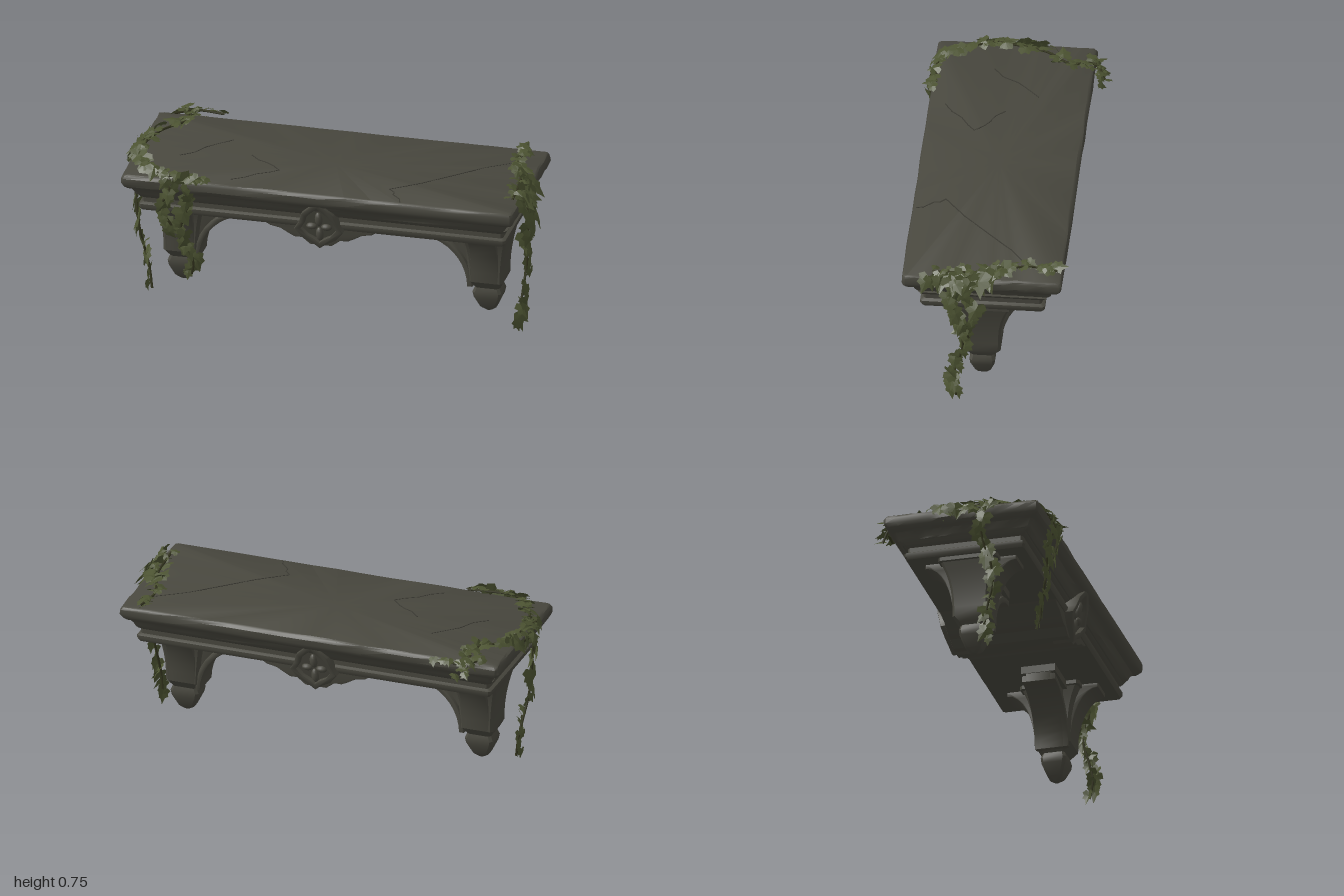
import * as THREE from 'three';
import { mergeGeometries, toCreasedNormals } from 'three/addons/utils/BufferGeometryUtils.js';

const stone = new THREE.MeshStandardMaterial({ color: 0x48473e });
stone.name = 'stone';
const crackStone = new THREE.MeshStandardMaterial({ color: 0x3b3a33 });
crackStone.name = 'cracked stone';
const leafGreen = new THREE.MeshStandardMaterial({ color: 0x4b5231, side: THREE.DoubleSide });
leafGreen.name = 'ivy leaf';
const stemBrown = new THREE.MeshStandardMaterial({ color: 0x34351f });
stemBrown.name = 'ivy stem';

let seed = 7;
const rand = () => (seed = (seed * 16807) % 2147483647) / 2147483647;
const jit = a => (rand() * 2 - 1) * a;
const V = (x, y, z) => new THREE.Vector3(x, y, z);
const steps = (n, f) => Array.from({ length: n + 1 }, (_, i) => f(i / n));

function add(group, name, geo, mat = stone, crease = 0.6) {
  const mesh = new THREE.Mesh(crease ? toCreasedNormals(geo, crease) : geo, mat);
  mesh.name = name;
  group.add(mesh);
}

// Stack of chamfered rectangles [y, half width, half depth], bottom to top, with worn edges
function loft(rings, c, seg = 1, wear = 0) {
  const pos = [], idx = [], n = 4 * (seg + 1), last = rings.length - 1;
  for (const [y, w, d] of rings) {
    const corners = [[-w, c - d], [-w, d - c], [c - w, d], [w - c, d], [w, d - c], [w, c - d], [w - c, -d], [c - w, -d]];
    corners.forEach(([ax, az], i) => {
      const [bx, bz] = corners[(i + 1) % 8];
      const k = i % 2 ? 1 : seg;
      for (let j = 0; j < k; j++) {
        const t = j / k;
        pos.push(ax + (bx - ax) * t + jit(wear), y + jit(wear / 2), az + (bz - az) * t + jit(wear));
      }
    });
  }
  const bottom = pos.length / 3, top = bottom + 1;
  pos.push(0, rings[0][0], 0, 0, rings[last][0], 0);
  for (let i = 0; i < n; i++) {
    const j = (i + 1) % n;
    for (let r = 0; r < last * n; r += n) idx.push(r + i, r + j, r + j + n, r + i, r + j + n, r + i + n);
    idx.push(bottom, j, i, top, last * n + i, last * n + j);
  }
  const geo = new THREE.BufferGeometry();
  geo.setAttribute('position', new THREE.Float32BufferAttribute(pos, 3));
  geo.setIndex(idx);
  return geo;
}

const shapeOf = pts => new THREE.Shape(pts.map(([x, y]) => new THREE.Vector2(x, y)));
const flip = pts => pts.map(([x, y]) => [-x, y]).reverse();
function plate(shape, z0, z1, bevel = 0) {
  const geo = new THREE.ExtrudeGeometry(shape, {
    depth: z1 - z0 - 2 * bevel, bevelEnabled: bevel > 0, bevelSize: bevel, bevelThickness: bevel,
    bevelOffset: -bevel, bevelSegments: 2,
  });
  return geo.translate(0, 0, z0 + bevel);
}

// Corbel under one end; s = 1 is the model's left
function makeBracket(s) {
  const g = new THREE.Group();
  g.name = s > 0 ? 'leftBracket' : 'rightBracket';
  const foot = [[0.055, 0.015, 0.015], [0.075, 0.038, 0.035], [0.13, 0.063, 0.056], [0.155, 0.068, 0.059], [0.18, 0.058, 0.053], [0.195, 0.068, 0.065]];
  const shaft = steps(6, t => [0.22 + 0.26 * t, 0.08 + 0.035 * t * t, 0.085 + 0.045 * t ** 3]);
  const cap = [[0.482, 0.127, 0.14], [0.505, 0.127, 0.14]];
  add(g, 'corbel', loft([...foot, ...shaft, ...cap], 0.012).translate(s * 0.717, 0, 0.02));

  // Arched web reaching toward the middle, with a thicker rib along its curve
  const arc = (rx, ry) => steps(10, t => [s * (0.4 + rx * Math.sin(t * Math.PI / 2)), 0.19 + ry * Math.cos(t * Math.PI / 2)]);
  const curve = arc(0.23, 0.235);
  add(g, 'archWeb', plate(shapeOf([...curve, [s * 0.72, 0.19], [s * 0.72, 0.505], [s * 0.4, 0.505]]), -0.04, 0.08, 0.005));
  add(g, 'archRib', plate(shapeOf([...curve, ...arc(0.255, 0.265).reverse()]), -0.06, 0.1, 0.008));
  add(g, 'webCap', new THREE.BoxGeometry(0.265, 0.04, 0.16).translate(s * 0.528, 0.485, 0.02));

  // Flares toward front and back
  const half = [...steps(8, t => [0.215 - 0.13 * Math.cos(t * Math.PI / 2), 0.22 + 0.26 * Math.sin(t * Math.PI / 2)]), [0.215, 0.505]];
  const flare = plate(shapeOf([...half, ...flip(half)]), -0.065, 0.065, 0.006);
  add(g, 'frontBackFlare', flare.rotateY(Math.PI / 2).translate(s * 0.715, 0, 0.02));
  return g;
}

// Pointed medallion that leans outward toward its top
function makeMedallion(name) {
  const g = new THREE.Group();
  g.name = name;
  const side = [[0, 0.4], [0.03, 0.425], [0.075, 0.45], [0.115, 0.5], [0.09, 0.54], [0.075, 0.59], [0.035, 0.63]];
  const outline = k => shapeOf([...side, [0, 0.66], ...flip(side.slice(1))].map(([x, y]) => [x * k, 0.525 + (y - 0.525) * k]));
  const lean = geo => {
    const p = geo.attributes.position;
    for (let i = 0; i < p.count; i++) p.setZ(i, p.getZ(i) + (p.getY(i) - 0.4) * 0.27);
    return geo;
  };
  const frame = outline(1);
  frame.holes.push(outline(0.72));
  add(g, 'frame', lean(plate(frame, 0.2, 0.3, 0.006)));
  add(g, 'panel', lean(plate(outline(0.8), 0.2, 0.275)));
  // Carved four-leaf cluster
  for (let i = 0; i < 4; i++) {
    const leaf = new THREE.SphereGeometry(1, 12, 8).scale(0.018, i % 2 ? 0.026 : 0.038, 0.018).translate(0, i % 2 ? 0.035 : 0.042, 0);
    add(g, 'carvedLeaf', lean(leaf.rotateZ(i * Math.PI / 2).translate(0, 0.515, 0.277)), stone, 0);
  }
  return g;
}

// Five-lobed leaf folded along its midrib, tip toward +y
function makeLeaf() {
  const half = [[0.24, -0.14], [0.5, 0.06], [0.36, 0.26], [0.44, 0.48], [0.2, 0.58]];
  const ring = [[0, 0], ...half, [0, 1], ...flip(half)];
  const bend = ([x, y]) => [x, y, -0.3 * Math.abs(x) - 0.2 * y * y];
  const pos = ring.flatMap((p, i) => [...bend([0, 0.3]), ...bend(p), ...bend(ring[(i + 1) % ring.length])]);
  const geo = new THREE.BufferGeometry();
  geo.setAttribute('position', new THREE.Float32BufferAttribute(pos, 3));
  geo.computeVertexNormals();
  return geo;
}

// Vine stem with leaves scattered along it
function makeVine(points, count, facing, tip, size, spread) {
  const g = new THREE.Group();
  g.name = 'ivyVine';
  const curve = new THREE.CatmullRomCurve3(points);
  add(g, 'stem', new THREE.TubeGeometry(curve, 28, 0.006, 5), stemBrown, 0);
  const leaf = makeLeaf(), leaves = [];
  for (let i = 0; i < count; i++) {
    const t = (i + 0.5) / count;
    const n = facing.clone().add(V(jit(0.5), jit(0.4), jit(0.5))).normalize();
    const d = tip.clone().add(V(jit(0.8), jit(0.3), jit(0.8)));
    d.addScaledVector(n, -d.dot(n)).normalize();
    const k = size * (0.75 + rand() * 0.5) * (1 - 0.25 * t);
    const at = curve.getPoint(t).addScaledVector(n, 0.012).addScaledVector(d, -0.3 * k);
    at.add(V(jit(spread), jit(spread * 0.3), jit(spread)));
    const m = new THREE.Matrix4().makeBasis(d.clone().cross(n), d, n).scale(V(k, k, k)).setPosition(at);
    leaves.push(leaf.clone().applyMatrix4(m));
  }
  add(g, 'leaves', mergeGeometries(leaves), leafGreen, 0);
  return g;
}

// Strand that spills over the edge, then sways and drifts back under the slab
function makeStrand(x, z, out, bottom, drift, count) {
  const points = steps(7, t => {
    const off = 0.045 * Math.min(1, t * 6) - drift * t, sway = 0.025 * Math.sin(t * 9);
    return V(x + out.x * off + out.z * sway, 0.71 + (bottom - 0.71) * t, z + out.z * off + out.x * sway);
  });
  return makeVine(points, count, out.clone().add(V(0, 0.15, 0.2)), V(0, -1, 0), 0.088, 0.016);
}

export function createModel() {
  seed = 7;
  const root = new THREE.Group();
  root.name = 'stoneShelf';

  // Moulded slab and the frieze below it, each a list of [height, inset]
  const slab = [[0.575, 0.07], [0.59, 0.055], [0.6, 0.05], [0.625, 0.035], [0.632, 0.02], [0.645, 0.006], [0.66, 0], [0.685, 0], [0.697, 0.006], [0.702, 0.016]];
  add(root, 'slab', loft(slab.map(([y, d]) => [y, 0.922 - d, 0.366 - d]), 0.012, 14, 0.0025).translate(-0.008, 0, 0.012));
  const frieze = [[0.5, 0.008], [0.515, 0], [0.53, 0], [0.538, 0.014], [0.56, 0.014], [0.57, 0], [0.585, -0.01]];
  add(root, 'frieze', loft(frieze.map(([y, d]) => [y, 0.862 - d, 0.286 - d]), 0.01).translate(-0.003, 0, 0.012));

  // Cusped valance crossing under the middle, with a medallion at each end
  const side = [[0.05, 0.41], [0.09, 0.44], [0.125, 0.44], [0.155, 0.455], [0.19, 0.475], [0.24, 0.485], [0.27, 0.505]];
  add(root, 'valance', plate(shapeOf([...side, ...flip(side)]), -0.262, 0.285, 0.006).translate(-0.01, 0, 0));
  const front = makeMedallion('frontMedallion'), back = makeMedallion('backMedallion');
  front.position.x = back.position.x = -0.012;
  back.position.z = 0.025;
  back.rotation.y = Math.PI;
  root.add(front, back, makeBracket(1), makeBracket(-1));

  // Hairline cracks wandering across the top: start x, z to end x, z
  for (const [x0, z0, x1, z1] of [[-0.43, 0.3, -0.24, 0.15], [-0.24, 0.15, -0.4, 0.02], [0.38, 0.36, 0.3, 0.23], [0.3, 0.23, 0.8, -0.2], [-0.72, 0.1, -0.52, -0.12]]) {
    const pts = steps(4, t => {
      const w = t % 1 ? 0.012 : 0;
      return [x0 + (x1 - x0) * t + jit(w), z0 + (z1 - z0) * t + jit(w)];
    });
    pts.slice(1).forEach(([bx, bz], i) => {
      const [ax, az] = pts[i];
      const line = new THREE.BoxGeometry(Math.hypot(bx - ax, bz - az), 0.003, 0.005);
      line.rotateY(-Math.atan2(bz - az, bx - ax)).translate((ax + bx) / 2, 0.702, (az + bz) / 2);
      add(root, 'crack', line, crackStone, 0);
    });
  }

  // Ivy creeping over the left end
  root.add(makeVine([V(0.82, 0.712, -0.33), V(0.8, 0.715, -0.2), V(0.86, 0.715, 0), V(0.88, 0.715, 0.24)], 22, V(0.2, 1, 0), V(0.5, 0, 0.3), 0.075, 0.03));
  root.add(makeVine([V(0.86, 0.715, -0.08), V(0.925, 0.69, 0.08), V(0.92, 0.7, 0.25)], 24, V(0.8, 0.6, 0), V(0.5, -0.8, 0), 0.1, 0.022));
  // Ivy creeping over the right end to both corners
  root.add(makeVine([V(-0.92, 0.712, 0.1), V(-0.86, 0.715, 0.24), V(-0.76, 0.72, 0.35), V(-0.52, 0.71, 0.36)], 26, V(0, 1, 0.4), V(-0.2, 0, 0.7), 0.08, 0.022));
  root.add(makeVine([V(-0.93, 0.71, 0.15), V(-0.86, 0.715, -0.12), V(-0.77, 0.72, -0.24), V(-0.79, 0.71, -0.35), V(-0.77, 0.64, -0.4)], 26, V(-0.2, 1, -0.1), V(-0.4, 0, -0.5), 0.075, 0.03));
  root.add(makeVine([V(-0.9, 0.71, -0.12), V(-0.94, 0.68, 0.04), V(-0.92, 0.7, 0.18)], 16, V(-0.8, 0.6, 0), V(-0.4, -0.8, 0), 0.09, 0.015));
  root.add(makeVine([V(-0.85, 0.712, -0.32), V(-0.76, 0.71, -0.38), V(-0.63, 0.7, -0.39)], 8, V(0, 0.8, -0.5), V(0.2, -0.3, -0.6), 0.065, 0.012));
  // Hanging strands at both ends and along the front
  const left = V(1, 0, 0), right = V(-1, 0, 0), ahead = V(0, 0, 1);
  root.add(makeStrand(0.9, 0.12, left, 0.03, 0.06, 24), makeStrand(0.9, 0.06, left, 0.37, 0.04, 10));
  root.add(makeStrand(-0.91, 0.13, right, 0.03, 0.11, 19));
  root.add(makeStrand(-0.63, 0.36, ahead, 0.19, 0.12, 17), makeStrand(-0.72, 0.36, ahead, 0.42, 0.06, 9));
  return root;
}
